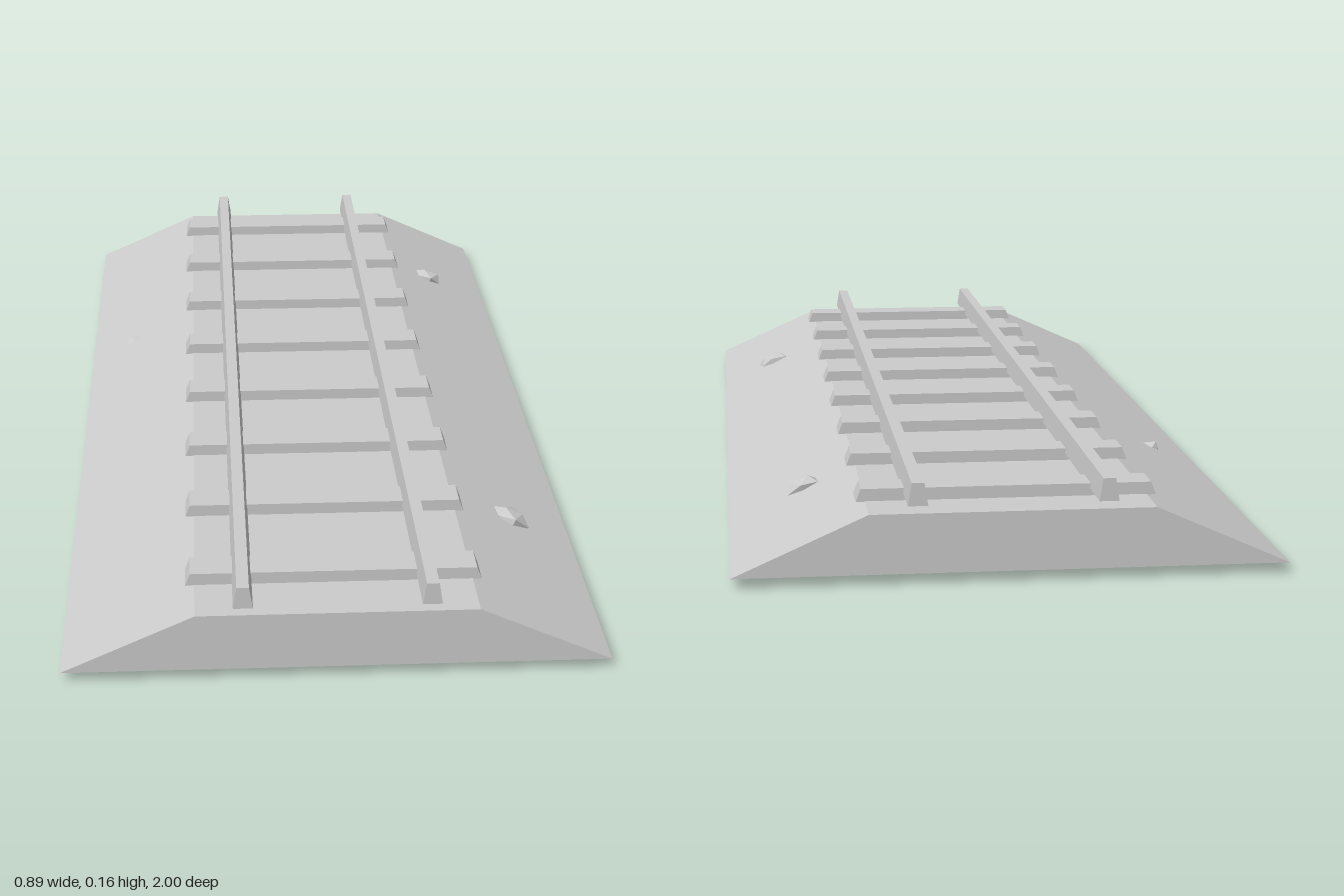
import * as THREE from 'three';

const material = new THREE.MeshStandardMaterial({ color: 0xcccccc, flatShading: true });

// Symmetric trapezoid bar running along z, centred on z = 0
function trapezoidBar(name, bottomHalf, topHalf, y0, y1, length) {
  const shape = new THREE.Shape([
    new THREE.Vector2(-bottomHalf, y0),
    new THREE.Vector2(bottomHalf, y0),
    new THREE.Vector2(topHalf, y1),
    new THREE.Vector2(-topHalf, y1),
  ]);
  const geometry = new THREE.ExtrudeGeometry(shape, { depth: length, bevelEnabled: false });
  geometry.translate(0, 0, -length / 2);
  const mesh = new THREE.Mesh(geometry, material);
  mesh.name = name;
  return mesh;
}

// Low-poly stone, made uneven by a rule based on vertex position
function stone(name, position, radii, tilt, seed) {
  const geometry = new THREE.IcosahedronGeometry(1, 0);
  const p = geometry.attributes.position;
  const v = new THREE.Vector3();
  for (let i = 0; i < p.count; i++) {
    v.fromBufferAttribute(p, i);
    v.multiplyScalar(0.97 + 0.12 * Math.sin(v.x * 5 + v.y * 7 + v.z * 3 + seed));
    p.setXYZ(i, v.x, v.y, v.z);
  }
  geometry.scale(...radii);
  geometry.computeVertexNormals();
  const mesh = new THREE.Mesh(geometry, material);
  mesh.name = name;
  mesh.position.set(...position);
  mesh.rotation.z = tilt;
  return mesh;
}

export function createModel() {
  const model = new THREE.Group();
  model.name = 'railwayTrack';

  // Embankment
  model.add(trapezoidBar('ballastBed', 0.445, 0.228, 0.018, 0.115, 2));

  // Sleepers with sloped ends
  const sleepers = new THREE.Group();
  sleepers.name = 'sleepers';
  for (let i = 0; i < 8; i++) {
    const sleeper = trapezoidBar('sleeper', 0.243, 0.235, 0.114, 0.135, 0.06);
    sleeper.position.z = -0.884 + i * 0.25;
    sleepers.add(sleeper);
  }
  model.add(sleepers);

  // Two rails, narrower at the top
  for (const side of [-1, 1]) {
    const rail = trapezoidBar(side > 0 ? 'leftRail' : 'rightRail', 0.016, 0.01, 0.127, 0.164, 2);
    rail.position.x = side * 0.151;
    model.add(rail);
  }

  // Loose stones half sunk in the slopes
  model.add(stone('backLeftStone', [0.318, 0.075, -0.643], [0.033, 0.017, 0.034], -0.42, 0));
  model.add(stone('frontLeftStone', [0.337, 0.068, 0.585], [0.036, 0.018, 0.033], -0.42, 2));
  model.add(stone('rightStone', [-0.345, 0.034, -0.33], [0.036, 0.036, 0.038], 0, 4));

  return model;
}
